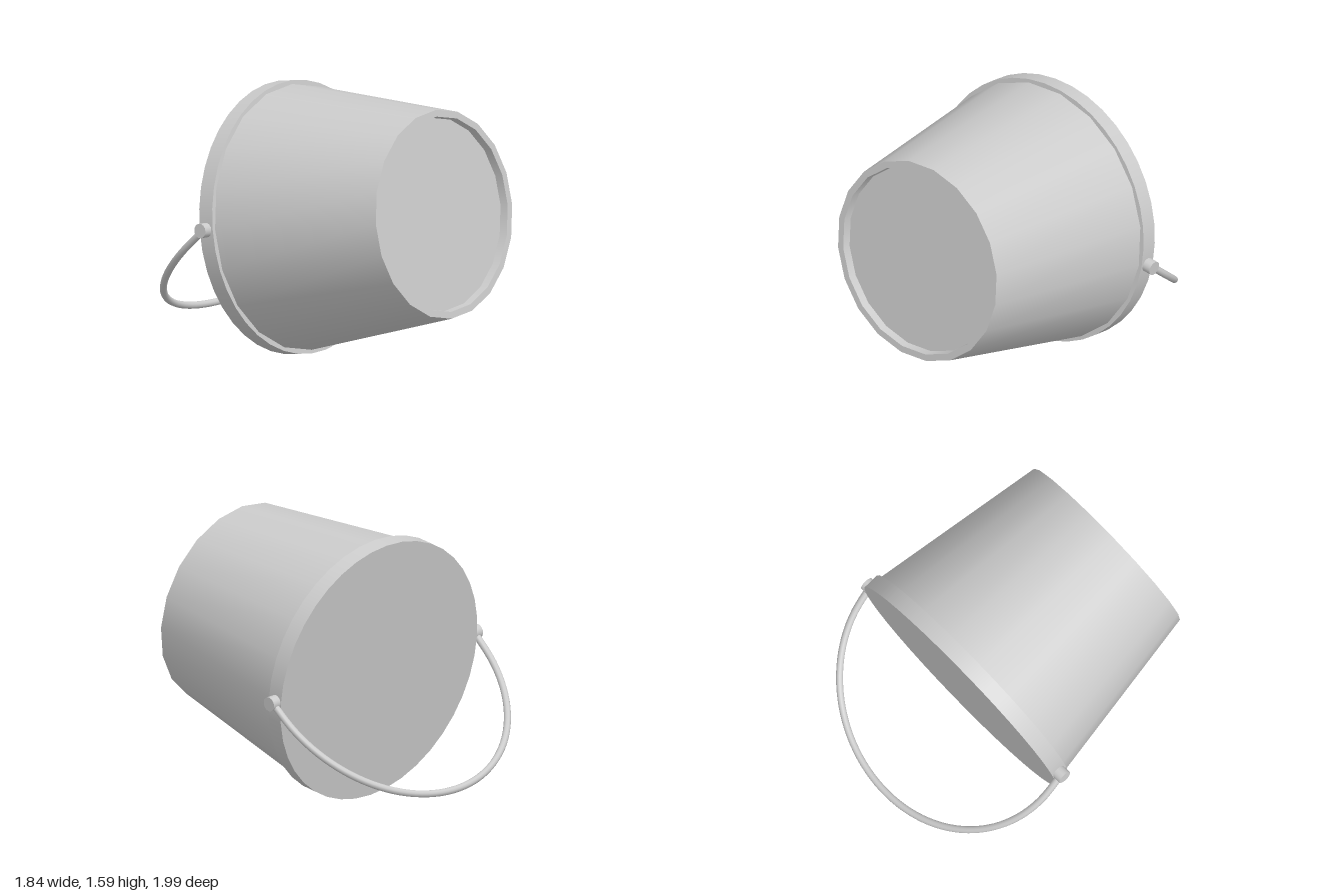
import * as THREE from 'three';

const material = new THREE.MeshStandardMaterial({ color: 0xcccccc, side: THREE.DoubleSide });

// Lathe with a hard edge at every profile point: one smooth band per pair of points
function bands(name, profile, sides) {
  const group = new THREE.Group();
  group.name = name;
  for (let i = 0; i < profile.length - 1; i++) {
    const pair = [profile[i], profile[i + 1]].map(([r, y]) => new THREE.Vector2(r, y));
    const mesh = new THREE.Mesh(new THREE.LatheGeometry(pair, sides), material);
    mesh.name = name;
    group.add(mesh);
  }
  return group;
}

export function createModel() {
  // The bucket is built along local y, from its closed mouth (y = 0) to its foot
  const bucket = new THREE.Group();
  bucket.name = 'bucket';

  const length = 1.195, rimHeight = 0.1, rimRadius = 0.8;

  // Flat cover with the wide rim band
  bucket.add(bands('rim', [[0, 0], [rimRadius, 0], [rimRadius, rimHeight], [0.74, rimHeight]], 40));

  // Tapered wall, foot ring and recessed base
  bucket.add(bands('body', [
    [0.78, rimHeight - 0.01], [0.612, length], [0.572, length], [0.566, length - 0.05], [0, length - 0.05],
  ], 20));

  // Pivot studs on both sides of the rim
  const pivotY = 0.046, handleRadius = 0.82;
  for (const side of [-1, 1]) {
    const stud = new THREE.Mesh(new THREE.CylinderGeometry(0.043, 0.043, 0.075, 16), material);
    stud.name = 'handlePivot';
    stud.rotation.z = Math.PI / 2;
    stud.position.set(side * 0.815, pivotY, 0);
    bucket.add(stud);
  }

  // Bail handle: short straight legs, then a half circle
  const legs = 0.08;
  const points = [new THREE.Vector3(handleRadius, 0, 0)];
  for (let i = 0; i <= 20; i++) {
    const a = (i / 20) * Math.PI;
    points.push(new THREE.Vector3(handleRadius * Math.cos(a), -legs - handleRadius * Math.sin(a), 0));
  }
  points.push(new THREE.Vector3(-handleRadius, 0, 0));
  const handle = new THREE.Mesh(
    new THREE.TubeGeometry(new THREE.CatmullRomCurve3(points), 60, 0.021, 10), material);
  handle.name = 'handle';
  handle.position.y = pivotY;
  handle.rotation.x = -Math.atan2(0.555, 0.832);
  bucket.add(handle);

  // Lay the bucket over: its axis points forward, to the left and slightly up
  const axis = new THREE.Vector3(0.365, 0.155, 0.918).normalize();
  const across = new THREE.Vector3(0.93, -0.07, -0.361);
  across.addScaledVector(axis, -across.dot(axis)).normalize();
  const depth = new THREE.Vector3().crossVectors(across, axis);
  bucket.quaternion.setFromRotationMatrix(new THREE.Matrix4().makeBasis(across, axis, depth));
  bucket.position.set(-0.086, 0.791, -0.34);

  const model = new THREE.Group();
  model.name = 'tippedBucket';
  model.add(bucket);
  return model;
}
